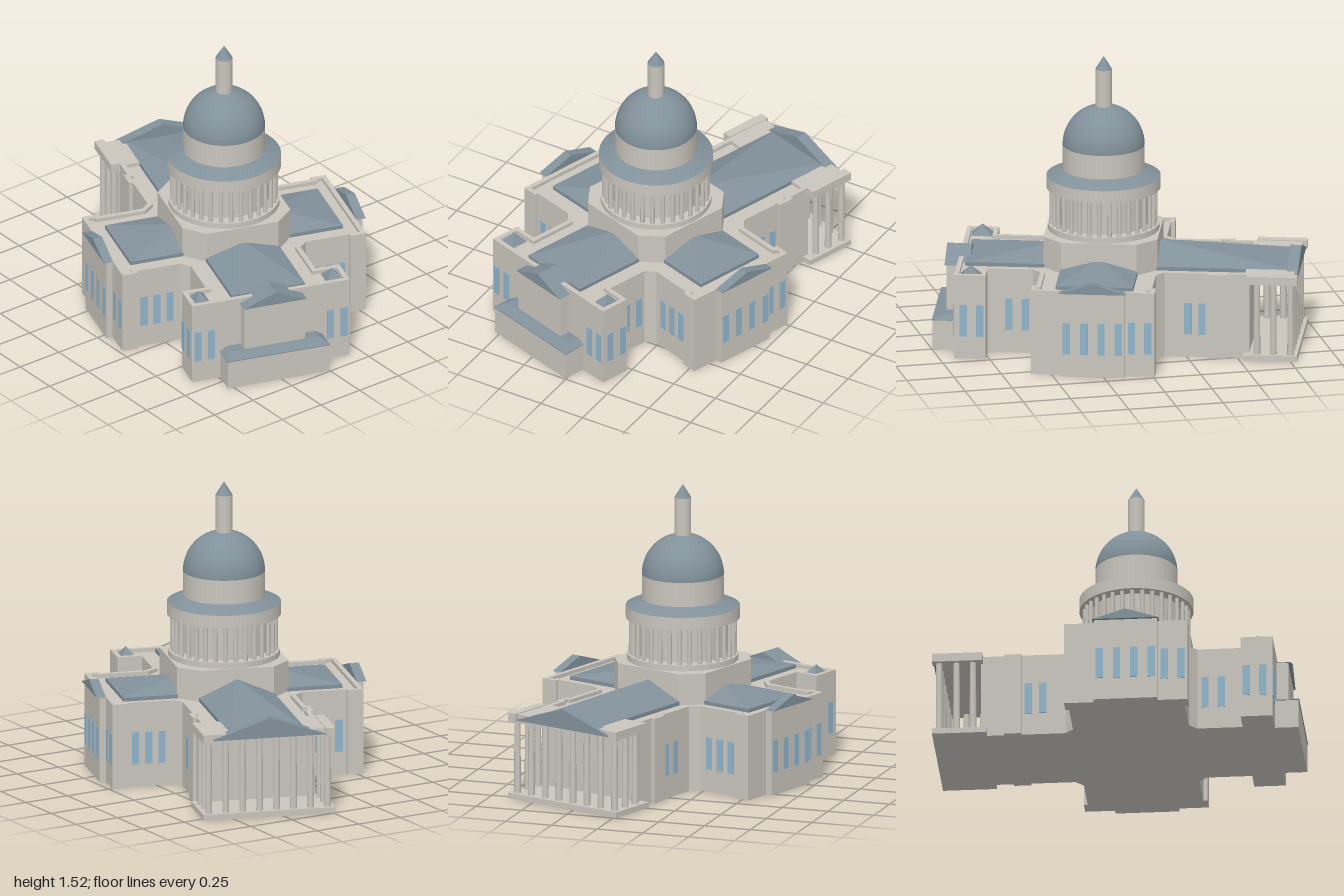
import * as THREE from 'three';
import { ConvexGeometry } from 'three/addons/geometries/ConvexGeometry.js';

const mat = (color, flatShading = false) => new THREE.MeshStandardMaterial({ color, flatShading });
const stone = mat(0xc9c5bd);
const slate = mat(0x81919a);
const slateFlat = mat(0x81919a, true);
const glass = mat(0x8fb4cc);
const V = (x, y, z) => new THREE.Vector3(x, y, z);

const WALL = 0.45, FLOOR = 0.43;

function add(parent, name, geometry, material) {
  const mesh = new THREE.Mesh(geometry, material);
  mesh.name = name;
  parent.add(mesh);
  return mesh;
}

function box(parent, name, [x0, x1], [y0, y1], [z0, z1], material = stone) {
  const m = add(parent, name, new THREE.BoxGeometry(x1 - x0, y1 - y0, z1 - z0), material);
  m.position.set((x0 + x1) / 2, (y0 + y1) / 2, (z0 + z1) / 2);
  return m;
}

function cylinder(parent, name, rTop, rBottom, y0, y1, material = stone, sides = 48) {
  const m = add(parent, name, new THREE.CylinderGeometry(rTop, rBottom, y1 - y0, sides), material);
  m.position.y = (y0 + y1) / 2;
  return m;
}

// Plan outline [x, z] extruded between two heights
function slab(parent, name, outline, y0, y1, hole) {
  const toPoints = list => list.map(([x, z]) => new THREE.Vector2(x, z));
  const shape = new THREE.Shape(toPoints(outline));
  if (hole) shape.holes.push(new THREE.Path(toPoints(hole)));
  const g = new THREE.ExtrudeGeometry(shape, { depth: y1 - y0, bevelEnabled: false });
  g.rotateX(Math.PI / 2).translate(0, y1, 0);
  return add(parent, name, g, stone);
}

// Mitred inset of a counter-clockwise outline
function inset(points, d) {
  const n = points.length;
  const normal = (a, b) => {
    const l = Math.hypot(b[0] - a[0], b[1] - a[1]);
    return [-(b[1] - a[1]) / l, (b[0] - a[0]) / l];
  };
  return points.map((p, i) => {
    const a = normal(points[(i + n - 1) % n], p), b = normal(p, points[(i + 1) % n]);
    const k = d / (1 + a[0] * b[0] + a[1] * b[1]);
    return [p[0] + k * (a[0] + b[0]), p[1] + k * (a[1] + b[1])];
  });
}

// Hipped wing roof: highest against the drum, falling to the outer eave
function wingRoof(parent, inner, outer, half, apex) {
  const pts = [V(inner, apex, 0)];
  for (const x of [inner, outer]) for (const z of [-half, half]) pts.push(V(x, FLOOR, z), V(x, WALL, z));
  add(parent, 'wingRoof', new ConvexGeometry(pts), slateFlat);
}

function gable(parent, name, x0, x1, half, y0, y1) {
  const pts = [];
  for (const x of [x0, x1]) pts.push(V(x, y0, -half), V(x, y0, half), V(x, y1, 0));
  add(parent, name, new ConvexGeometry(pts), slateFlat);
}

// Window facing along x or along z
function windowPane(parent, x, z, facing) {
  const w = 0.019, t = 0.004;
  const [dx, dz] = facing === 'x' ? [t, w] : [w, t];
  box(parent, 'window', [x - dx, x + dx], [0.12, 0.29], [z - dz, z + dz], glass);
}

function wing(parent, name, angle) {
  const g = new THREE.Group();
  g.name = name;
  g.rotation.y = angle;
  parent.add(g);
  return g;
}

export function createModel() {
  const model = new THREE.Group();
  model.name = 'domedBuilding';
  const plan = new THREE.Group();
  plan.name = 'building';
  plan.position.x = 0.09;
  plan.rotation.y = -Math.PI / 10;
  model.add(plan);

  // Cross-shaped body with parapet
  const half = [
    [0.74, 0.43], [0.575, 0.43], [0.575, 0.3], [0.34, 0.3], [0.3, 0.345],
    [0.3, 0.58], [0.32, 0.58], [0.32, 0.665], [-0.32, 0.665], [-0.32, 0.58], [-0.3, 0.58],
    [-0.3, 0.345], [-0.34, 0.3], [-0.57, 0.3], [-0.57, 0.32], [-0.66, 0.32], [-0.66, 0.3], [-0.78, 0.3],
  ];
  const outline = [...half, ...half.map(([x, z]) => [x, -z]).reverse()];
  slab(plan, 'walls', outline, 0, FLOOR);
  slab(plan, 'parapet', outline, FLOOR, WALL, inset(outline, 0.025));

  // North and south wings
  for (const [name, angle] of [['southWing', -Math.PI / 2], ['northWing', Math.PI / 2]]) {
    const g = wing(plan, name, angle);
    wingRoof(g, 0.25, 0.58, 0.2, 0.505);
    box(g, 'frontBay', [0.65, 0.7], [0, WALL], [-0.165, 0.165]);
    gable(g, 'bayGable', 0.665, 0.715, 0.172, WALL, 0.505);
    for (const z of [-0.135, -0.045, 0.045, 0.135]) windowPane(g, 0.7, z, 'x');
    for (const z of [-0.2, -0.285]) windowPane(g, 0.665, z, 'x');
    for (const s of [-1, 1]) for (const x of [0.4, 0.47, 0.54]) windowPane(g, x, s * 0.3, 'z');
  }

  // East wing with end block, low annex and corner towers
  const east = wing(plan, 'eastWing', 0);
  wingRoof(east, 0.25, 0.7, 0.2, 0.51);
  box(east, 'endBlock', [0.7, 0.8], [0, 0.42], [-0.165, 0.165]);
  gable(east, 'endBlockGable', 0.68, 0.81, 0.172, 0.42, 0.49);
  box(east, 'annex', [0.72, 0.862], [0, 0.155], [-0.276, 0.276]);
  const annexRoof = [];
  for (const z of [-0.28, 0.28]) annexRoof.push(V(0.74, 0.155, z), V(0.866, 0.155, z), V(0.866, 0.16, z));
  for (const z of [-0.24, 0.24]) annexRoof.push(V(0.74, 0.18, z), V(0.81, 0.18, z));
  add(east, 'annexRoof', new ConvexGeometry(annexRoof), slateFlat);
  for (const s of [-1, 1]) {
    const cap = [V(0.657, 0.485, s * 0.365)];
    for (const x of [0.603, 0.712]) for (const z of [0.318, 0.403]) cap.push(V(x, FLOOR, s * z));
    add(east, 'towerRoof', new ConvexGeometry(cap), slateFlat);
    for (const x of [0.38, 0.465]) windowPane(east, x, s * 0.3, 'z');
    for (const x of [0.605, 0.69]) windowPane(east, x, s * 0.43, 'z');
    for (const z of [0.325, 0.4]) windowPane(east, 0.74, s * z, 'x');
  }

  // West wing with columned portico
  const west = wing(plan, 'westWing', Math.PI);
  wingRoof(west, 0.28, 1.0, 0.2, 0.54);
  box(west, 'porticoBase', [0.75, 1.03], [0, 0.03], [-0.35, 0.35]);
  box(west, 'entablature', [0.77, 1.01], [0.41, WALL], [-0.335, 0.335]);
  for (const s of [-1, 1]) {
    box(west, 'porticoParapet', [0.77, 1.03], [0.41, 0.455], [s * 0.325 - 0.025, s * 0.325 + 0.025]);
    for (const x of [0.46, 0.535]) windowPane(west, x, s * 0.3, 'z');
  }
  gable(west, 'pediment', 0.965, 1.025, 0.31, 0.42, 0.525);
  const porticoColumn = (x, z) =>
    cylinder(west, 'porticoColumn', 0.016, 0.018, 0.03, 0.41, stone, 12).position.set(x, 0.22, z);
  for (let i = 0; i < 8; i++) porticoColumn(0.995, -0.315 + i * 0.09);
  for (const z of [-0.315, 0.315]) for (const x of [0.82, 0.905]) porticoColumn(x, z);

  // Octagonal podium under the drum
  const a = 0.295, b = 0.195;
  slab(plan, 'podium', [[a, b], [b, a], [-b, a], [-a, b], [-a, -b], [-b, -a], [b, -a], [a, -b]], 0.4, 0.595);

  // Colonnaded drum
  const dome = new THREE.Group();
  dome.name = 'domeTower';
  plan.add(dome);
  cylinder(dome, 'drumBase', 0.288, 0.288, 0.595, 0.625);
  cylinder(dome, 'drumWall', 0.23, 0.23, 0.62, 0.82);
  const count = 32;
  for (let i = 0; i < count; i++) {
    const t = (i / count) * Math.PI * 2;
    const c = cylinder(dome, 'drumColumn', 0.011, 0.012, 0.625, 0.815, stone, 8);
    c.position.x = Math.cos(t) * 0.268;
    c.position.z = Math.sin(t) * 0.268;
  }
  cylinder(dome, 'drumCornice', 0.295, 0.295, 0.815, 0.88);
  cylinder(dome, 'drumRoof', 0.21, 0.295, 0.88, 0.918, slate);
  cylinder(dome, 'upperDrum', 0.212, 0.212, 0.9, 1.045);

  // Dome and lantern
  const shell = add(dome, 'dome', new THREE.SphereGeometry(0.212, 48, 16, 0, Math.PI * 2, 0, Math.PI / 2), slate);
  shell.position.y = 1.045;
  cylinder(dome, 'lantern', 0.043, 0.043, 1.24, 1.45, stone, 24);
  cylinder(dome, 'lanternCap', 0, 0.043, 1.45, 1.52, slate, 24);

  return model;
}
